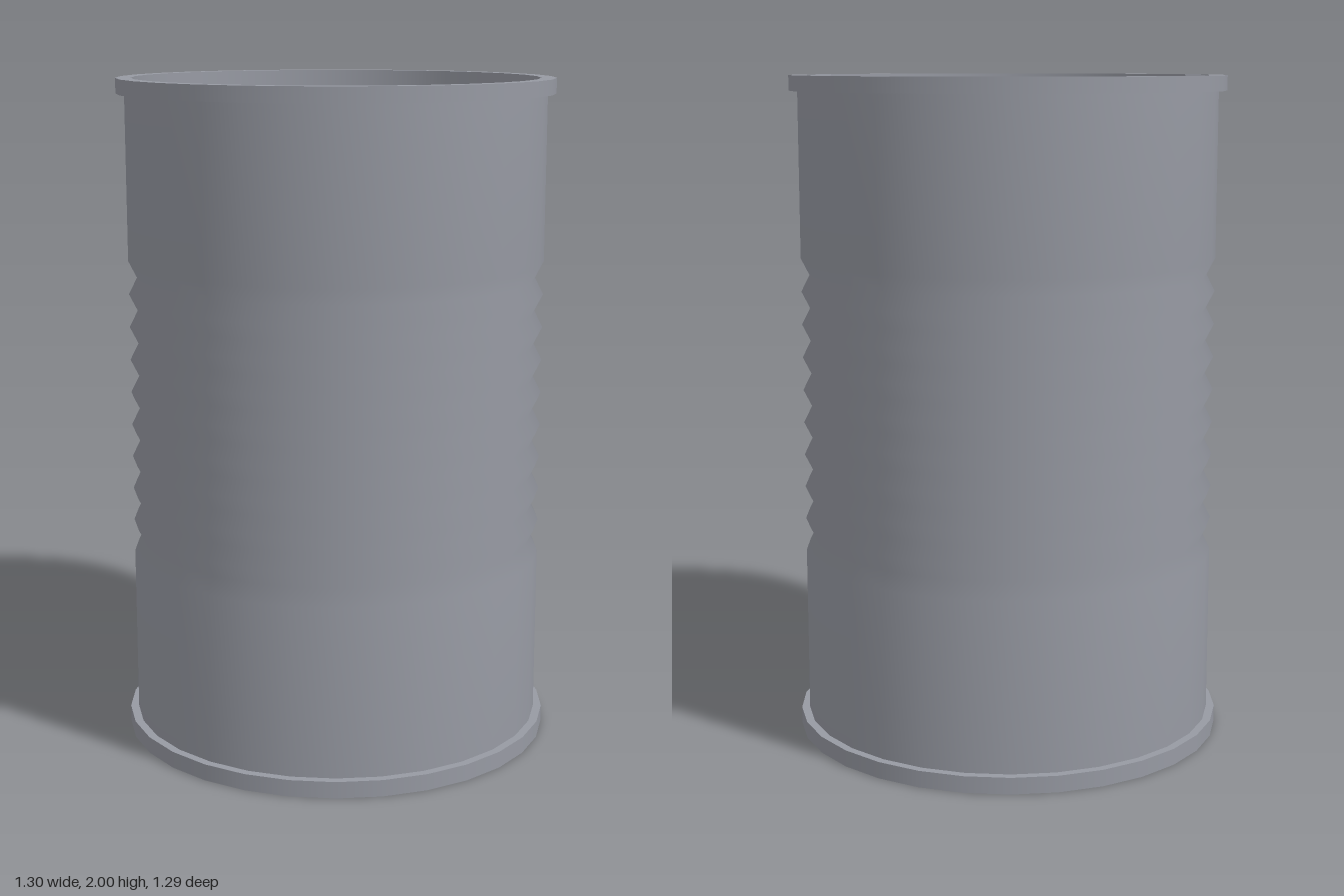
import * as THREE from 'three';
import { mergeGeometries } from 'three/addons/utils/BufferGeometryUtils.js';

const SIDES = 30;
const OUTER = 0.625, INNER = 0.605, RIM = 0.65, GROOVE = 0.025;

// Smooth surface of revolution with a corner on the x axis
function lathe(points) {
  return new THREE.LatheGeometry(points.map(([r, y]) => new THREE.Vector2(r, y)), SIDES, Math.PI / 2);
}

// Square-sectioned ring, one band per face so its edges stay sharp
function ring(bottom, top) {
  const corners = [[RIM, bottom], [RIM, top], [INNER, top], [INNER, bottom]];
  return mergeGeometries(corners.map((c, i) => lathe([c, corners[(i + 1) % 4]])));
}

// Wall profile from bottom to top with nine V-shaped grooves
function wallProfile(radius, bottom, top) {
  const points = [[radius, bottom]];
  for (let i = 0; i <= 18; i++) points.push([radius - (i % 2) * GROOVE, 0.56 + i * 0.05]);
  points.push([radius, top]);
  return points;
}

export function createModel() {
  const model = new THREE.Group();
  model.name = 'can';
  const steel = new THREE.MeshStandardMaterial({ color: 0x979aa3 });
  steel.name = 'grey steel';

  const add = (name, geometry) => {
    const mesh = new THREE.Mesh(geometry, steel);
    mesh.name = name;
    model.add(mesh);
    return mesh;
  };

  // Ribbed wall, outside and inside
  add('outerWall', lathe(wallProfile(OUTER, 0.05, 1.955)));
  add('innerWall', lathe(wallProfile(INNER, 0.04, 1.955).reverse()));

  // Rolled rims
  add('bottomRim', ring(0, 0.05));
  add('topRim', ring(1.955, 2));

  // Floor, slightly recessed from below
  const floorTop = add('floorTop', new THREE.CircleGeometry(INNER, SIDES));
  floorTop.rotation.x = -Math.PI / 2;
  floorTop.position.y = 0.04;
  const floorUnderside = add('floorUnderside', new THREE.CircleGeometry(INNER, SIDES));
  floorUnderside.rotation.x = Math.PI / 2;
  floorUnderside.position.y = 0.02;

  return model;
}
